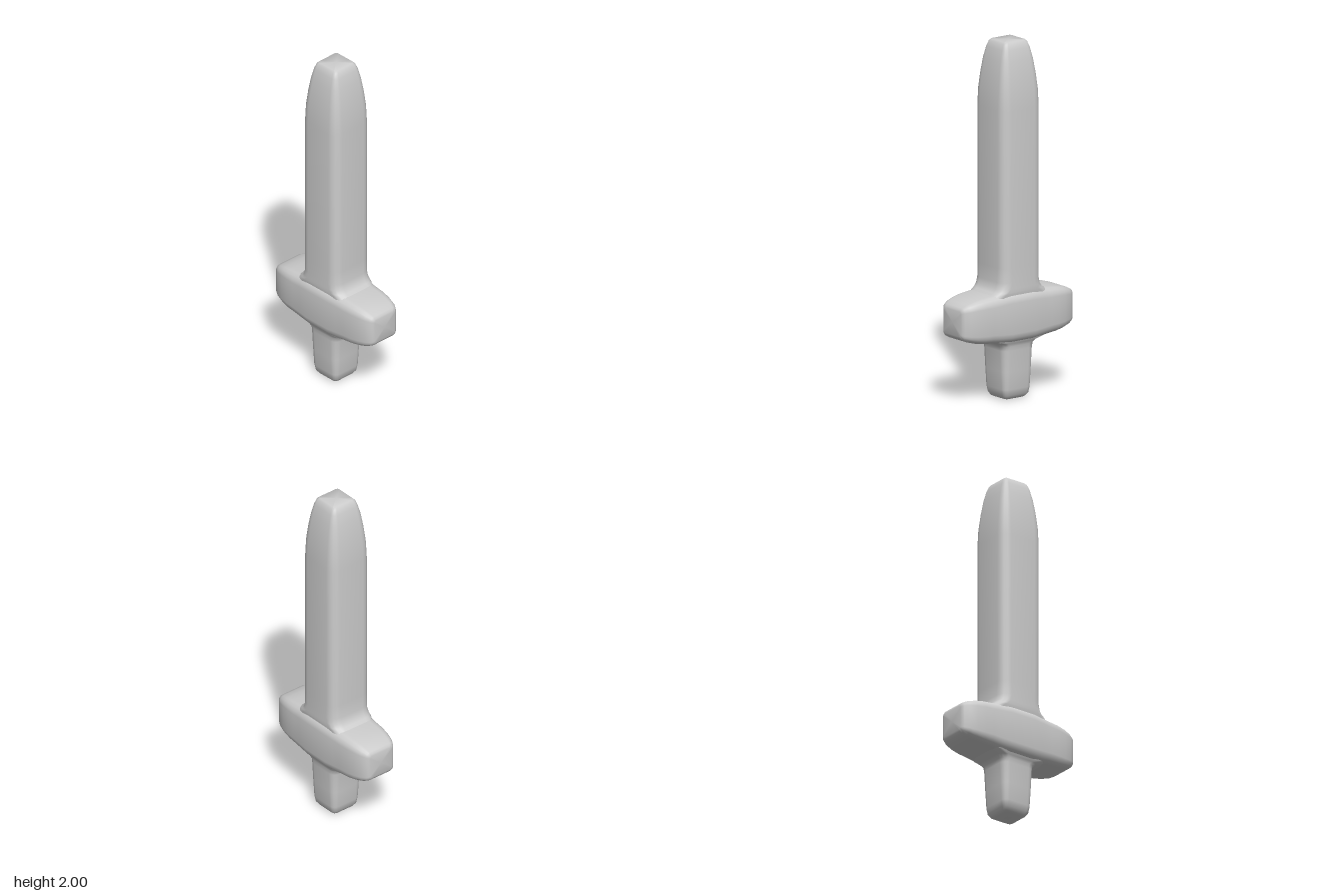
import * as THREE from 'three';
import { toCreasedNormals } from 'three/addons/utils/BufferGeometryUtils.js';

const CORNER = 4; // segments per rounded corner

// Rounded rectangle ring in the xz plane at height y
function ring([y, hx, hz, r]) {
  const points = [];
  for (let c = 0; c < 4; c++) {
    const sx = c === 0 || c === 3 ? 1 : -1;
    const sz = c < 2 ? 1 : -1;
    for (let i = 0; i <= CORNER; i++) {
      const a = (c + i / CORNER) * Math.PI / 2;
      points.push([sx * (hx - r) + r * Math.cos(a), y, sz * (hz - r) + r * Math.sin(a)]);
    }
  }
  return points;
}

// Closed loft through sections [y, halfX, halfZ, cornerRadius], listed upwards
function loft(name, sections, material) {
  const n = 4 * (CORNER + 1);
  const positions = sections.flatMap(ring);
  const last = sections.length - 1;
  const bottom = positions.push([0, sections[0][0], 0]) - 1;
  const top = positions.push([0, sections[last][0], 0]) - 1;
  const index = [];
  for (let k = 0; k < n; k++) {
    const next = (k + 1) % n;
    for (let j = 0; j < last; j++) {
      const a = j * n + k, b = j * n + next;
      index.push(a, a + n, b, b, a + n, b + n);
    }
    index.push(bottom, k, next, top, last * n + next, last * n + k);
  }
  const geometry = new THREE.BufferGeometry();
  geometry.setAttribute('position', new THREE.Float32BufferAttribute(positions.flat(), 3));
  geometry.setIndex(index);
  const mesh = new THREE.Mesh(toCreasedNormals(geometry, 0.85), material);
  mesh.name = name;
  return mesh;
}

export function createModel() {
  const group = new THREE.Group();
  group.name = 'sword';
  const material = new THREE.MeshStandardMaterial({ color: 0xcccccc });

  // Blade: flared root, straight body, blunt tapering tip
  group.add(loft('blade', [
    [0.57, 0.21, 0.125, 0.06],
    [0.603, 0.18, 0.132, 0.06],
    [0.615, 0.16, 0.135, 0.06],
    [0.635, 0.145, 0.136, 0.06],
    [0.67, 0.137, 0.136, 0.06],
    [0.75, 0.135, 0.135, 0.055],
    [1.63, 0.135, 0.135, 0.055],
    [1.73, 0.13, 0.13, 0.05],
    [1.82, 0.12, 0.12, 0.045],
    [1.9, 0.107, 0.107, 0.037],
    [1.96, 0.092, 0.092, 0.027],
    [1.99, 0.08, 0.08, 0.02],
    [2.0, 0.07, 0.07, 0.014],
  ], material));

  // Grip: rounded end, slight taper, flare into the guard
  group.add(loft('grip', [
    [0, 0.06, 0.06, 0.015],
    [0.006, 0.072, 0.072, 0.02],
    [0.025, 0.086, 0.086, 0.026],
    [0.06, 0.093, 0.093, 0.032],
    [0.16, 0.099, 0.099, 0.038],
    [0.28, 0.105, 0.104, 0.042],
    [0.305, 0.11, 0.106, 0.045],
    [0.322, 0.13, 0.11, 0.05],
    [0.338, 0.18, 0.118, 0.055],
    [0.37, 0.21, 0.12, 0.055],
  ], material));

  // Crossguard: mirrored half profile [x, halfHeight, halfDepth, cornerRadius]
  const half = [
    [0.08, 0.142, 0.147, 0.056],
    [0.14, 0.138, 0.142, 0.056],
    [0.2, 0.131, 0.138, 0.054],
    [0.25, 0.126, 0.134, 0.05],
    [0.3, 0.117, 0.125, 0.044],
    [0.345, 0.104, 0.112, 0.036],
    [0.372, 0.09, 0.096, 0.026],
    [0.381, 0.08, 0.085, 0.02],
    [0.385, 0.07, 0.074, 0.014],
  ];
  const mirrored = half.map(([x, ...rest]) => [-x, ...rest]).reverse();
  const guard = loft('crossguard', [...mirrored, ...half], material);
  guard.rotation.z = -Math.PI / 2;
  guard.position.y = 0.47;
  group.add(guard);

  return group;
}
